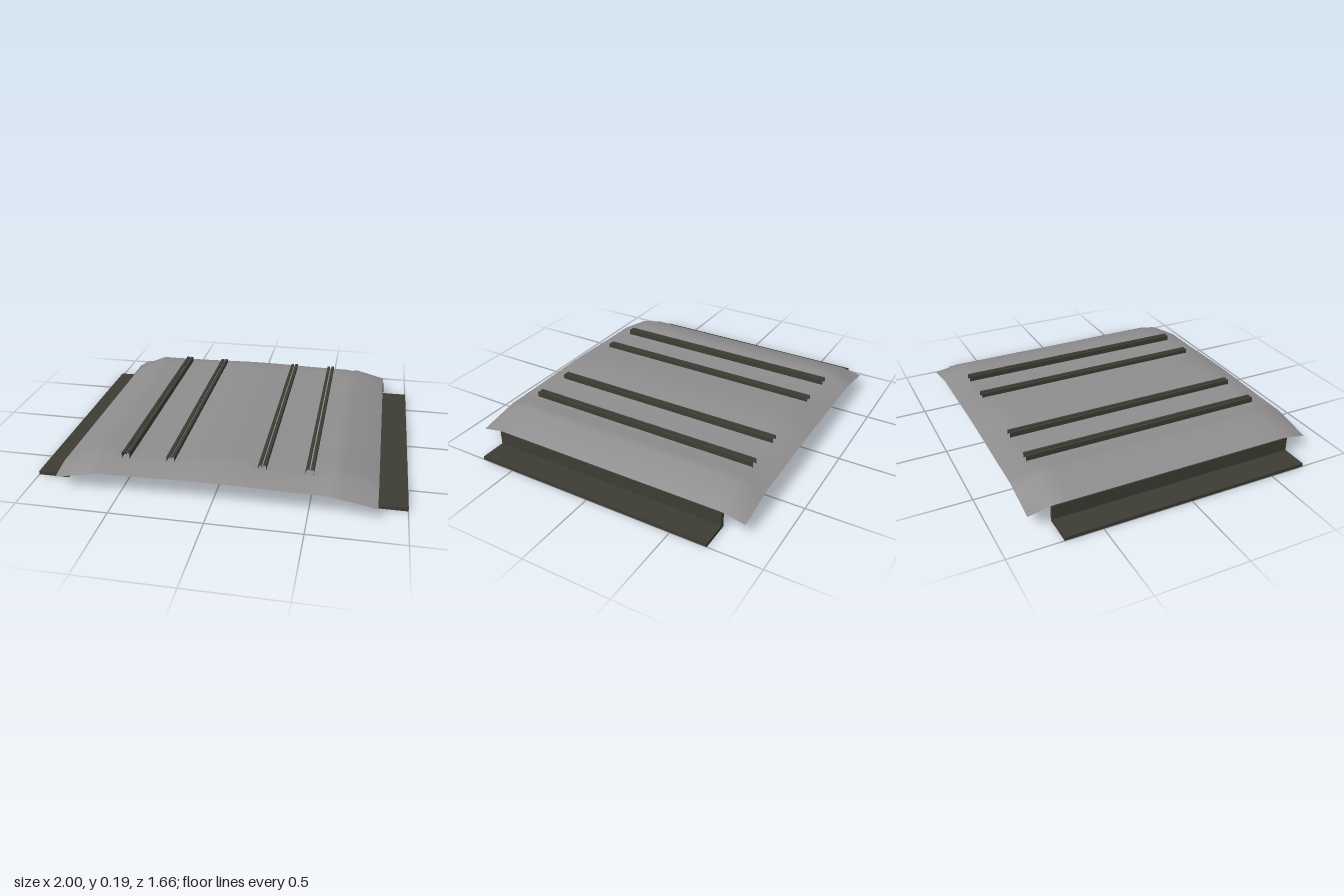
import * as THREE from 'three';

// Half cross-sections of the panel: x, height along the middle, height at the front and back lips
const SECTION = [
  [0, 0.18, 0.13], [0.1, 0.172, 0.129], [0.2, 0.163, 0.127], [0.3, 0.155, 0.124],
  [0.4, 0.152, 0.122], [0.5, 0.154, 0.121], [0.6, 0.163, 0.12], [0.67, 0.174, 0.108], [0.845, 0.1, 0.075],
];
const ROWS = [-0.83, -0.7, -0.6, -0.3, 0, 0.3, 0.6, 0.7, 0.83];
const HALF_LENGTH = 0.705;

// Smooth open sheet lofted through a grid of x and z stations
function sheet(xs, zs, heightAt) {
  const positions = [], index = [];
  for (const z of zs) for (const x of xs) positions.push(x, heightAt(x, z), z);
  const n = xs.length;
  for (let j = 0; j < zs.length - 1; j++) {
    for (let i = 0; i < n - 1; i++) {
      const a = j * n + i, b = a + n;
      index.push(a, b, a + 1, a + 1, b, b + 1);
    }
  }
  const g = new THREE.BufferGeometry();
  g.setAttribute('position', new THREE.Float32BufferAttribute(positions, 3));
  g.setIndex(index);
  g.computeVertexNormals();
  return g;
}

function panelHeight(x, z) {
  const ax = Math.min(Math.abs(x), 0.845);
  const k = Math.max(1, SECTION.findIndex((s) => s[0] >= ax));
  const [p, q] = [SECTION[k - 1], SECTION[k]];
  const t = (ax - p[0]) / (q[0] - p[0]);
  const middle = p[1] + (q[1] - p[1]) * t;
  const lip = p[2] + (q[2] - p[2]) * t;
  const drop = Math.max(0, (Math.abs(z) - 0.7) / 0.13);
  return middle + (lip - middle) * drop;
}

export function createModel() {
  const model = new THREE.Group();
  const grey = new THREE.MeshStandardMaterial({ color: 0x8f8c8d, side: THREE.DoubleSide });
  grey.name = 'panelGrey';
  const dark = new THREE.MeshStandardMaterial({ color: 0x3d3c34, side: THREE.DoubleSide });
  dark.name = 'railDark';

  const add = (name, geometry, material, parent = model) => {
    const mesh = new THREE.Mesh(geometry, material);
    mesh.name = name;
    parent.add(mesh);
    return mesh;
  };

  // Curved panel
  const half = SECTION.map((s) => s[0]);
  const xs = [...half.slice(1).reverse().map((x) => -x), ...half];
  add('panel', sheet(xs, ROWS, panelHeight), grey);

  for (const [side, s] of [['left', 1], ['right', -1]]) {
    // Shallow strip under each pair of rails
    const stripXs = [0.18, 0.2, 0.3, 0.4, 0.5, 0.56].map((x) => x * s).sort((a, b) => a - b);
    add(`${side}RailBed`, sheet(stripXs, [-0.7, 0, 0.7], (x, z) => panelHeight(x, z) + 0.002), grey);

    // Angle bracket: upright leg and flat foot
    const angle = new THREE.Shape([
      [0.828, 0], [1, 0], [1, 0.02], [0.85, 0.02], [0.85, 0.098], [0.828, 0.098],
    ].map(([x, y]) => new THREE.Vector2(x * s, y)));
    const bracket = new THREE.ExtrudeGeometry(angle, { depth: 2 * HALF_LENGTH, bevelEnabled: false });
    bracket.translate(0, 0, -HALF_LENGTH);
    add(`${side}Bracket`, bracket, dark);

    // Open slotted rails: two walls with inward lips
    for (const [place, x] of [['Inner', 0.244], ['Outer', 0.49]]) {
      const rail = new THREE.Group();
      rail.name = `${side}${place}Rail`;
      rail.position.x = x * s;
      model.add(rail);
      for (const e of [-1, 1]) {
        const wall = new THREE.PlaneGeometry(2 * HALF_LENGTH, 0.036);
        wall.rotateY(e * Math.PI / 2).translate(e * 0.021, 0.169, 0);
        add('railWall', wall, dark, rail);
        const lip = new THREE.PlaneGeometry(0.017, 2 * HALF_LENGTH);
        lip.rotateX(-Math.PI / 2).translate(e * 0.0125, 0.187, 0);
        add('railLip', lip, dark, rail);
        const slot = new THREE.PlaneGeometry(2 * HALF_LENGTH, 0.01);
        slot.rotateY(-e * Math.PI / 2).translate(e * 0.004, 0.182, 0);
        add('railSlotSide', slot, dark, rail);
      }
    }
  }
  return model;
}
